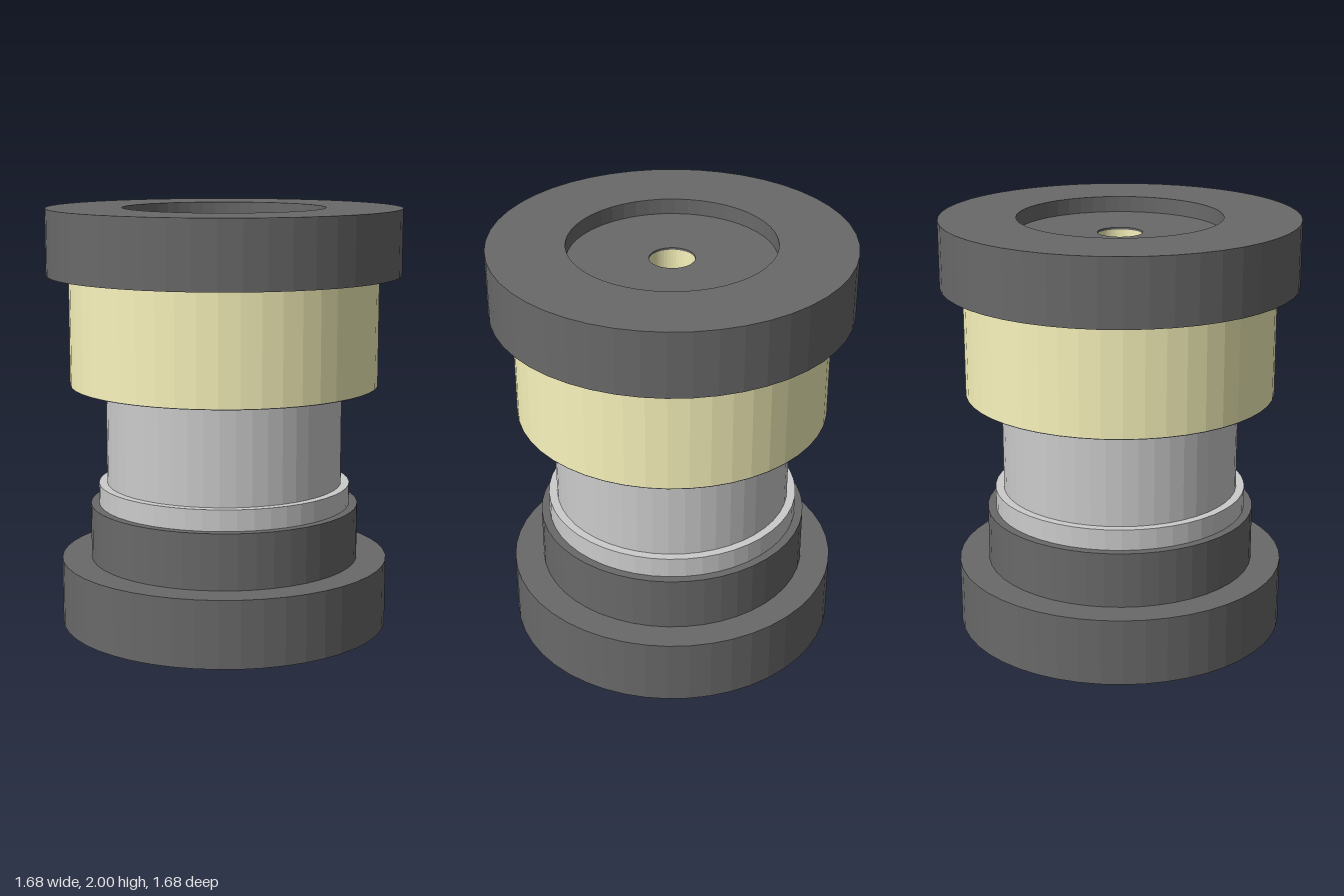
import * as THREE from 'three';

const SIDES = 48;
const BORE = 0.105;

const material = (color) => new THREE.MeshStandardMaterial({ color, flatShading: true });

// Revolves a closed [radius, height] outline, listed counter-clockwise
function turned(name, outline, mat) {
  const points = [...outline, outline[0]].map(([r, y]) => new THREE.Vector2(r, y));
  const mesh = new THREE.Mesh(new THREE.LatheGeometry(points, SIDES), mat);
  mesh.name = name;
  return mesh;
}

export function createModel() {
  const model = new THREE.Group();
  model.name = 'turnedSpool';
  const dark = material(0x696969);
  const cream = material(0xf9f4bc);
  const grey = material(0xcccccc);

  model.add(
    // Stepped base with a wide recess underneath
    turned('base', [
      [BORE, 0.17], [0.645, 0.17], [0.645, 0], [0.787, 0], [0.787, 0.32],
      [0.645, 0.32], [0.645, 0.585], [0.565, 0.585], [0.565, 0.18], [BORE, 0.18],
    ], dark),

    // Hollow rod with a collar just above the base
    turned('rod', [
      [BORE, 0.18], [0.565, 0.18], [0.565, 0.585], [0.605, 0.585],
      [0.605, 0.685], [0.565, 0.685], [0.565, 1.163], [BORE, 1.163],
    ], grey),

    // Thin dark face under the sleeve
    turned('sleeveUnderside', [
      [BORE, 1.163], [0.735, 1.163], [0.735, 1.167], [BORE, 1.167],
    ], dark),

    // Sleeve, with a narrower core reaching up into the cap
    turned('sleeve', [
      [BORE, 1.167], [0.735, 1.167], [0.735, 1.687],
      [0.48, 1.687], [0.48, 1.915], [BORE, 1.915],
    ], cream),

    // Cap with a shallow round recess on top
    turned('cap', [
      [0.48, 1.687], [0.84, 1.687], [0.84, 2], [0.48, 2],
      [0.48, 1.925], [BORE, 1.925], [BORE, 1.915], [0.48, 1.915],
    ], dark),
  );
  return model;
}
